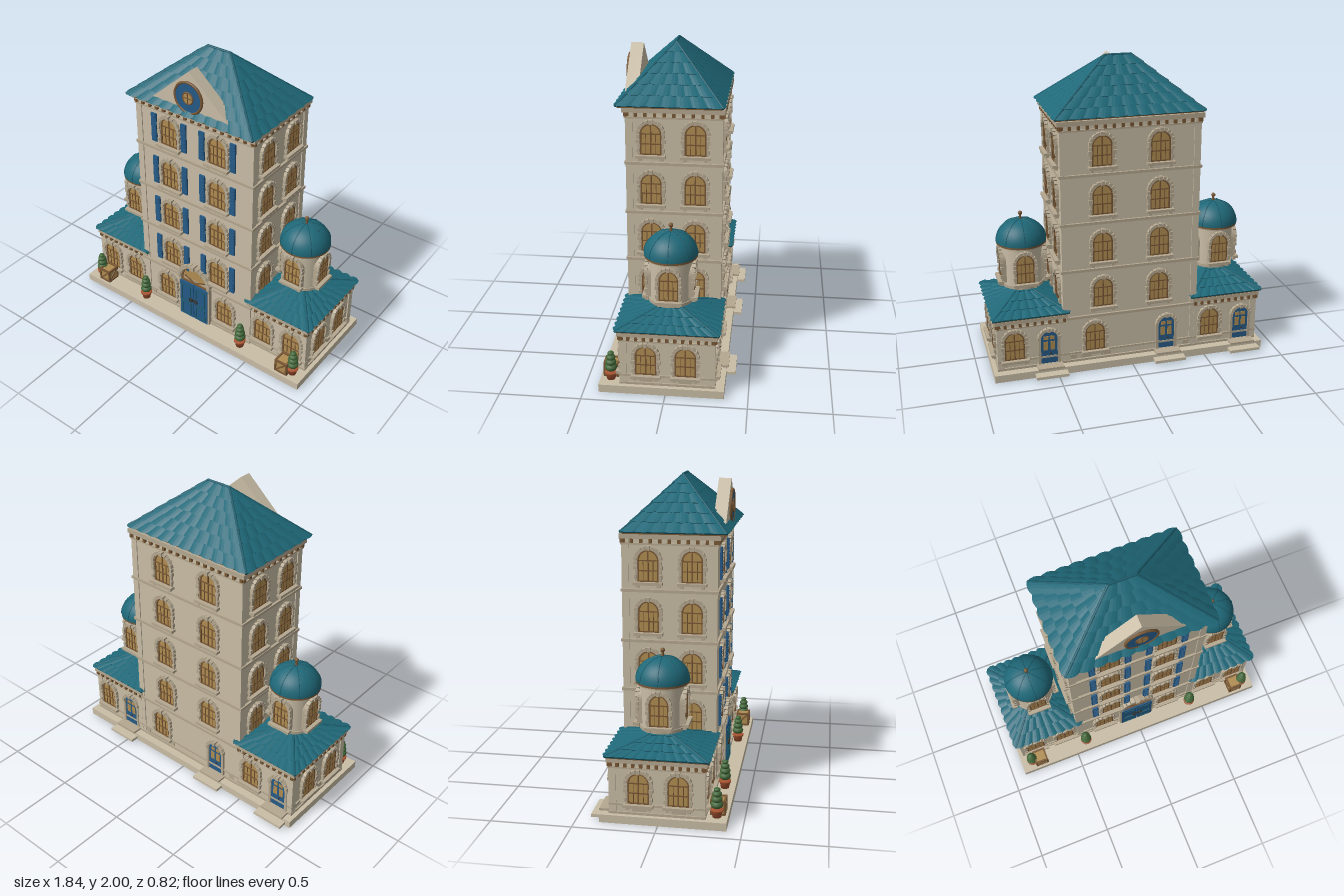
import * as THREE from 'three';
import { mergeGeometries } from 'three/addons/utils/BufferGeometryUtils.js';

const mat = (color, side = THREE.FrontSide) => new THREE.MeshStandardMaterial({ color, side });
const WALL = mat(0xc9bda6), STONE = mat(0xb5a890), BROWN = mat(0x7a5835), GLASS = mat(0xb08d52);
const BLUE = mat(0x265a86), TEAL = mat(0x1f6878, THREE.DoubleSide), RIDGE = mat(0x1a5a69);
const GREEN = mat(0x43683a), CLAY = mat(0xa5522f), IRON = mat(0x3a2a1c);

const merge = list => mergeGeometries(list.map(g => (g.index ? g.toNonIndexed() : g)));
const boxG = (w, h, d, x, y, z, rz = 0) => new THREE.BoxGeometry(w, h, d).rotateZ(rz).translate(x, y, z);
const extrude = (s, z0, z1) => new THREE.ExtrudeGeometry(s, { depth: z1 - z0, bevelEnabled: false, curveSegments: 10 }).translate(0, 0, z0);

function add(parent, name, geo, material) {
  const m = new THREE.Mesh(geo, material);
  m.name = name;
  parent.add(m);
  return m;
}
// box given by its limits
const block = (p, name, x0, x1, y0, y1, z0, z1, m) =>
  add(p, name, boxG(x1 - x0, y1 - y0, z1 - z0, (x0 + x1) / 2, (y0 + y1) / 2, (z0 + z1) / 2), m);

// round-headed outline: half width r, foot y0, springing line y1
function arch(r, y0, y1, P = THREE.Shape) {
  const s = new P();
  s.moveTo(-r, y0); s.lineTo(r, y0); s.lineTo(r, y1);
  s.absarc(0, y1, r, 0, Math.PI, false);
  s.lineTo(-r, y0);
  return s;
}
function archRing(r, R, y0, y1, z0, z1) {
  const s = arch(R, y0, y1);
  s.holes.push(arch(r, y0 + 0.002, y1, THREE.Path));
  return extrude(s, z0, z1);
}
function voussoirs(n, r, y, w, h, z) {
  return Array.from({ length: n }, (_, i) => {
    const a = Math.PI * (i + 0.5) / n, k = i === (n - 1) / 2 ? 1.3 : 1;
    return boxG(h * k, w, z * k, r * Math.cos(a), y + r * Math.sin(a), z * k / 2, a);
  });
}

// shared window and back door geometry, facing +z with the foot at y = 0
const R = 0.065, SP = 0.15;
const winStone = merge([
  archRing(R, 0.08, 0.01, SP, -0.03, 0.013), ...voussoirs(9, 0.077, SP, 0.023, 0.02, 0.022),
  ...[-1, 1].flatMap(s => [0.135, 0.107, 0.05].map((y, i) => boxG(i % 2 ? 0.024 : 0.017, 0.024, 0.02, s * 0.077, y, 0.01))),
  boxG(0.18, 0.018, 0.036, 0, 0.011, 0.018),
  ...[-1, 1].map(s => boxG(0.02, 0.018, 0.022, s * 0.065, -0.006, 0.011))]);
const winGlass = extrude(arch(R, 0.015, SP), -0.03, 0.004);
const winFrame = merge([
  archRing(R - 0.009, R, 0.02, SP, 0, 0.01), boxG(0.008, 0.19, 0.006, 0, 0.117, 0.006),
  ...[0.024, 0.088, SP].map(y => boxG(2 * R - 0.008, 0.007, 0.006, 0, y, 0.006)),
  ...[-1, 1].map(s => boxG(0.004, 0.13, 0.005, s * 0.03, 0.085, 0.006))]);
const shutterGeo = merge([-1, 1].flatMap(s => [
  boxG(0.04, 0.2, 0.012, s * 0.117, 0.12, 0.01),
  ...[0, 1, 2, 3, 4, 5, 6, 7].map(i => boxG(0.028, 0.008, 0.012, s * 0.117, 0.04 + i * 0.023, 0.014))]));

function place(parent, name, x, y, z, turn) {
  const g = new THREE.Group();
  g.name = name;
  g.position.set(x, y, z);
  g.rotation.y = turn;
  parent.add(g);
  return g;
}
function addWindow(parent, x, y, z, turn = 0, shutters = false) {
  const g = place(parent, 'window', x, y, z, turn);
  add(g, 'windowSurround', winStone, STONE);
  add(g, 'windowGlass', winGlass, GLASS);
  add(g, 'windowFrame', winFrame, BROWN);
  if (shutters) add(g, 'shutters', shutterGeo, BLUE);
  return g;
}
function addBackDoor(parent, x, z) {
  const g = place(parent, 'backDoor', x, 0.05, z, Math.PI);
  add(g, 'backDoorSurround', merge([archRing(0.055, 0.072, 0, 0.19, -0.02, 0.014),
    ...voussoirs(9, 0.068, 0.19, 0.02, 0.02, 0.024)]), STONE);
  add(g, 'backDoorLeaf', extrude(arch(0.055, 0, 0.19), -0.02, 0.006), BLUE);
  add(g, 'backDoorPanes', merge([-1, 1].flatMap(s => [boxG(0.03, 0.06, 0.006, s * 0.023, 0.14, 0.006),
    boxG(0.03, 0.025, 0.006, s * 0.02, 0.197, 0.006)])), GLASS);
  add(g, 'backDoorHandle', new THREE.SphereGeometry(0.006, 8, 6).translate(0.01, 0.09, 0.012), IRON);
  block(g, 'upperStep', -0.085, 0.085, 0, 0.014, 0, 0.075, STONE);
  block(g, 'lowerStep', -0.105, 0.105, -0.037, -0.018, 0.02, 0.12, WALL);
}

// one roof slope: rows of bulging tiles, each overlapping the row below
function tiledSlope(bl, br, tr, tl, rows, tile) {
  const n = br.clone().sub(bl).cross(tl.clone().sub(bl)).normalize();
  const down = n.clone().cross(br.clone().sub(bl).normalize()).negate();
  const pos = [];
  const at = (u, v) => bl.clone().lerp(br, u).lerp(tl.clone().lerp(tr, u), v);
  for (let r = 0; r < rows; r++) {
    const v0 = r / rows, v1 = (r + 1) / rows;
    const segs = 4 * Math.max(1, Math.round(at(0, v0).distanceTo(at(1, v0)) / tile));
    const cut = i => {
      const k = Math.abs(Math.sin(Math.PI * i / 4)), base = at(i / segs, v0);
      const lip = base.clone().addScaledVector(n, 0.006 + 0.007 * k).addScaledVector(down, 0.01 * k);
      return [base.addScaledVector(n, -0.006), lip, at(i / segs, v1).addScaledVector(n, 0.002 + 0.004 * k)];
    };
    for (let i = 0; i < segs; i++) {
      const a = cut(i), b = cut(i + 1);
      for (let j = 0; j < 2; j++)
        for (const p of [a[j], b[j], b[j + 1], a[j], b[j + 1], a[j + 1]]) pos.push(p.x, p.y, p.z);
    }
  }
  const g = new THREE.BufferGeometry();
  g.setAttribute('position', new THREE.Float32BufferAttribute(pos, 3));
  g.computeVertexNormals();
  return g;
}
function rod(a, b, r) {
  const d = b.clone().sub(a), g = new THREE.CylinderGeometry(r, r, d.length(), 8);
  g.applyQuaternion(new THREE.Quaternion().setFromUnitVectors(new THREE.Vector3(0, 1, 0), d.normalize()));
  return g.translate(...a.clone().add(b).multiplyScalar(0.5).toArray());
}
function hipRoof(parent, name, cx, hx, z0, z1, y0, y1, ridge, rows, tile) {
  const V = (x, y, z) => new THREE.Vector3(cx + x, y, z), zc = (z0 + z1) / 2;
  const A = V(-hx, y0, z1), B = V(hx, y0, z1), C = V(hx, y0, z0), D = V(-hx, y0, z0);
  const L = V(-ridge, y1, zc), Rr = V(ridge, y1, zc);
  add(parent, name + 'Tiles', mergeGeometries([[A, B, Rr, L], [B, C, Rr, Rr], [C, D, L, Rr], [D, A, L, L]]
    .map(q => tiledSlope(...q, rows, tile))), TEAL);
  const rods = [[A, L], [D, L], [B, Rr], [C, Rr]].map(q => rod(...q, 0.008));
  if (ridge) rods.push(rod(L, Rr, 0.009));
  add(parent, name + 'Ridges', merge(rods), RIDGE);
  block(parent, name + 'Eave', cx - hx + 0.008, cx + hx - 0.008, y0 - 0.012, y0 + 0.002, z0 + 0.008, z1 - 0.008, BROWN);
}
// row of small brackets around a rectangular wall
function dentils(parent, x0, x1, z0, z1, y, step) {
  const list = [], nx = Math.round((x1 - x0) / step), nz = Math.round((z1 - z0) / step);
  for (let i = 0; i <= nx; i++) for (const z of [z0, z1]) list.push(boxG(0.018, 0.026, 0.034, x0 + (x1 - x0) * i / nx, y, z));
  for (let i = 0; i <= nz; i++) for (const x of [x0, x1]) list.push(boxG(0.034, 0.026, 0.018, x, y, z0 + (z1 - z0) * i / nz));
  add(parent, 'eaveBrackets', merge(list), BROWN);
}
function pilasters(parent, x0, x1, z0, z1, y0, y1) {
  for (const x of [x0, x1]) for (const z of [z0, z1])
    block(parent, 'cornerPilaster', x - 0.022, x + 0.022, y0, y1, z - 0.022, z + 0.022, WALL);
}

function tower(root) {
  const g = place(root, 'tower', 0, 0, 0, 0), ZF = 0.282, ZB = -0.292, X = 0.445;
  block(g, 'towerWalls', -X, X, 0.05, 1.665, ZB, ZF, WALL);
  pilasters(g, -X + 0.015, X - 0.015, ZB + 0.015, ZF - 0.015, 0.05, 1.65);
  block(g, 'towerPlinth', -X - 0.01, X + 0.01, 0.05, 0.065, ZB - 0.012, ZF + 0.012, STONE);
  block(g, 'plinthLedge', -X - 0.01, X + 0.01, 0.105, 0.118, ZB - 0.01, ZF + 0.01, STONE);
  for (const y of [0.365, 0.69, 1.005, 1.32])
    block(g, 'floorBand', -X - 0.016, X + 0.016, y - 0.009, y + 0.009, ZB - 0.014, ZF + 0.014, STONE);
  block(g, 'towerFrieze', -X - 0.012, X + 0.012, 1.60, 1.612, ZB - 0.012, ZF + 0.012, STONE);
  block(g, 'towerCornice', -X - 0.024, X + 0.024, 1.638, 1.668, ZB - 0.018, ZF + 0.024, STONE);
  dentils(g, -X, X, ZB, ZF, 1.625, 0.055);
  for (let f = 0; f < 4; f++) {
    const y = 0.41 + f * 0.315;
    for (const s of [-1, 1]) {
      addWindow(g, s * 0.187, y, ZF, 0, true);
      addWindow(g, s * 0.187, y, ZB, Math.PI);
      for (const z of [0.135, -0.135]) addWindow(g, s * X, y, z, s * Math.PI / 2);
    }
  }
  for (const s of [-1, 1]) addWindow(g, s * 0.243, 0.1, ZF);
  addWindow(g, 0.243, 0.1, ZB, Math.PI);
  addBackDoor(g, -0.245, ZB);
  // plinth stones
  for (const x of [-0.4, -0.31, -0.17, 0.17, 0.3, 0.4])
    for (const z of [ZF, ZB]) if (z > 0 || x !== -0.31 && x !== -0.17) block(g, 'plinthStone', x - 0.035, x + 0.035, 0.07, 0.1, z - 0.006, z + 0.006, STONE);
  hipRoof(g, 'towerRoof', 0, 0.478, -0.3, 0.342, 1.678, 1.992, 0.085, 6, 0.09);

  // gable with round window
  const tri = new THREE.Shape([[-0.32, 1.68], [0.32, 1.68], [0, 1.965]].map(p => new THREE.Vector2(...p)));
  add(g, 'gable', extrude(tri, 0.235, 0.315), WALL);
  const o = place(g, 'roundWindow', 0, 1.795, 0.315, 0);
  const disc = (r, d) => new THREE.CylinderGeometry(r, r, d, 32).rotateX(Math.PI / 2);
  add(o, 'roundWindowPanel', disc(0.1, 0.024), BLUE);
  add(o, 'roundWindowRim', new THREE.TorusGeometry(0.1, 0.009, 8, 40).translate(0, 0, 0.008), BROWN);
  add(o, 'roundWindowGlass', disc(0.038, 0.03), GLASS);
  add(o, 'roundWindowBars', merge([new THREE.TorusGeometry(0.038, 0.005, 6, 28).translate(0, 0, 0.014),
    boxG(0.006, 0.07, 0.006, 0, 0, 0.015), boxG(0.07, 0.006, 0.006, 0, 0, 0.015)]), BROWN);
}

function frontDoor(root) {
  const g = place(root, 'frontDoor', 0, 0, 0.282, 0);
  add(g, 'doorSurround', merge([archRing(0.11, 0.128, 0.05, 0.37, -0.02, 0.03), ...voussoirs(13, 0.126, 0.37, 0.027, 0.025, 0.04)]), STONE);
  add(g, 'fanlight', extrude(arch(0.11, 0.34, 0.37), -0.02, 0.014), GLASS);
  add(g, 'fanlightBars', merge([archRing(0.1, 0.11, 0.345, 0.37, 0, 0.022), boxG(0.22, 0.012, 0.02, 0, 0.348, 0.014),
    ...[-1, 1].map(s => boxG(0.085, 0.008, 0.01, s * 0.045, 0.372, 0.016, s * 0.38))]), BROWN);
  for (const s of [-1, 1]) {
    add(g, 'doorLeaf', boxG(0.113, 0.295, 0.04, s * 0.059, 0.197, 0.014), BLUE);
    const frame = (y, h) => [-1, 1].flatMap(k => [boxG(0.005, h, 0.006, s * 0.06 + k * 0.036, y, 0.036),
      boxG(0.077, 0.005, 0.006, s * 0.06, y + k * h / 2, 0.036)]);
    add(g, 'doorPanels', merge([...frame(0.115, 0.09), ...frame(0.25, 0.13)]), RIDGE);
    add(g, 'doorHandle', new THREE.TorusGeometry(0.014, 0.004, 6, 18).translate(s * 0.02, 0.208, 0.04), IRON);
  }
}

function wing(root, s) {
  const g = place(root, s > 0 ? 'leftWing' : 'rightWing', s * 0.66, 0, 0, 0);
  const X = 0.215, ZF = 0.272, ZB = -0.292;
  block(g, 'wingWalls', -X, X, 0.05, 0.4, ZB, ZF, WALL);
  pilasters(g, -X + 0.014, X - 0.014, ZB + 0.014, ZF - 0.014, 0.05, 0.39);
  block(g, 'wingPlinth', -X - 0.01, X + 0.01, 0.05, 0.065, ZB - 0.01, ZF + 0.01, STONE);
  block(g, 'wingLedge', -X - 0.009, X + 0.009, 0.105, 0.118, ZB - 0.009, ZF + 0.009, STONE);
  block(g, 'wingFrieze', -X - 0.01, X + 0.01, 0.34, 0.35, ZB - 0.01, ZF + 0.01, STONE);
  block(g, 'wingCornice', -X - 0.02, X + 0.02, 0.378, 0.402, ZB - 0.02, ZF + 0.02, STONE);
  dentils(g, -X, X, ZB, ZF, 0.364, 0.048);
  for (const k of [-1, 1]) {
    addWindow(g, k * 0.112, 0.1, ZF);
    addWindow(g, s * X, 0.1, k * 0.12, s * Math.PI / 2);
    block(g, 'plinthStone', k * 0.12 - 0.035, k * 0.12 + 0.035, 0.07, 0.1, ZF - 0.006, ZF + 0.006, STONE);
    block(g, 'plinthStone', s * X - 0.006, s * X + 0.006, 0.07, 0.1, k * 0.12 - 0.04, k * 0.12 + 0.04, STONE);
  }
  addWindow(g, 0.112, 0.1, ZB, Math.PI);
  addBackDoor(g, -0.112, ZB);
  hipRoof(g, 'wingRoof', 0, 0.245, -0.32, 0.302, 0.415, 0.522, 0, 4, 0.065);

  // domed turret
  const t = place(g, 'turret', 0, 0, -0.01, 0);
  const ring = (name, r, y0, y1, m) => add(t, name, new THREE.CylinderGeometry(r, r, y1 - y0, 40).translate(0, (y0 + y1) / 2, 0), m);
  ring('turretWall', 0.134, 0.54, 0.82, WALL);
  ring('turretFoot', 0.14, 0.535, 0.555, STONE);
  ring('turretCornice', 0.148, 0.806, 0.82, STONE);
  ring('turretEave', 0.162, 0.82, 0.834, BROWN);
  for (let i = 0; i < 4; i++) {
    const a = i * Math.PI / 2;
    addWindow(t, 0.132 * Math.sin(a), 0.56, 0.132 * Math.cos(a), a).scale.x = 0.9;
  }
  const dome = add(t, 'dome', new THREE.SphereGeometry(0.163, 40, 14, 0, Math.PI * 2, 0, Math.PI / 2), TEAL);
  const ribs = add(t, 'domeRibs', merge([0, 1, 2, 3].map(i => new THREE.TorusGeometry(0.163, 0.003, 6, 32, Math.PI).rotateY(i * Math.PI / 4))), RIDGE);
  for (const m of [dome, ribs]) { m.scale.y = 0.88; m.position.y = 0.832; }
  add(t, 'finial', merge([new THREE.CylinderGeometry(0.006, 0.01, 0.04, 10).translate(0, 0.985, 0),
    new THREE.SphereGeometry(0.014, 14, 10).translate(0, 1.012, 0)]), BROWN);
}

function topiary(root, x) {
  const g = place(root, 'pottedTree', x, 0.05, 0.342, 0);
  const pts = [[0, 0], [0.026, 0], [0.034, 0.04], [0.039, 0.04], [0.039, 0.052], [0, 0.052]].map(p => new THREE.Vector2(...p));
  add(g, 'pot', new THREE.LatheGeometry(pts, 18), CLAY);
  add(g, 'foliage', merge([[0.038, 0.08], [0.034, 0.115], [0.029, 0.147], [0.02, 0.174]]
    .map(([r, y]) => new THREE.SphereGeometry(r, 14, 10).scale(1, 0.68, 1).translate(0, y, 0))), GREEN);
}
function crate(root, x) {
  const g = place(root, 'crate', x, 0.098, 0.345, 0), e = 0.041;
  add(g, 'crateBody', new THREE.BoxGeometry(0.08, 0.08, 0.08), GLASS);
  const side = merge([-1, 1].flatMap(k => [boxG(0.012, 0.094, 0.012, k * e, 0, e), boxG(0.094, 0.012, 0.012, 0, k * e, e)])
    .concat(boxG(0.105, 0.01, 0.008, 0, 0, e, Math.PI / 4)));
  for (let i = 0; i < 4; i++) add(g, 'crateSlats', side, BROWN).rotation.y = i * Math.PI / 2;
}

export function createModel() {
  const root = new THREE.Group();
  root.name = 'townHouse';
  block(root, 'base', -0.912, 0.912, 0, 0.05, -0.355, 0.408, WALL);
  tower(root);
  frontDoor(root);
  for (const s of [-1, 1]) {
    wing(root, s);
    topiary(root, s * 0.41);
    topiary(root, s * 0.83);
    crate(root, s * 0.768);
  }
  return root;
}
